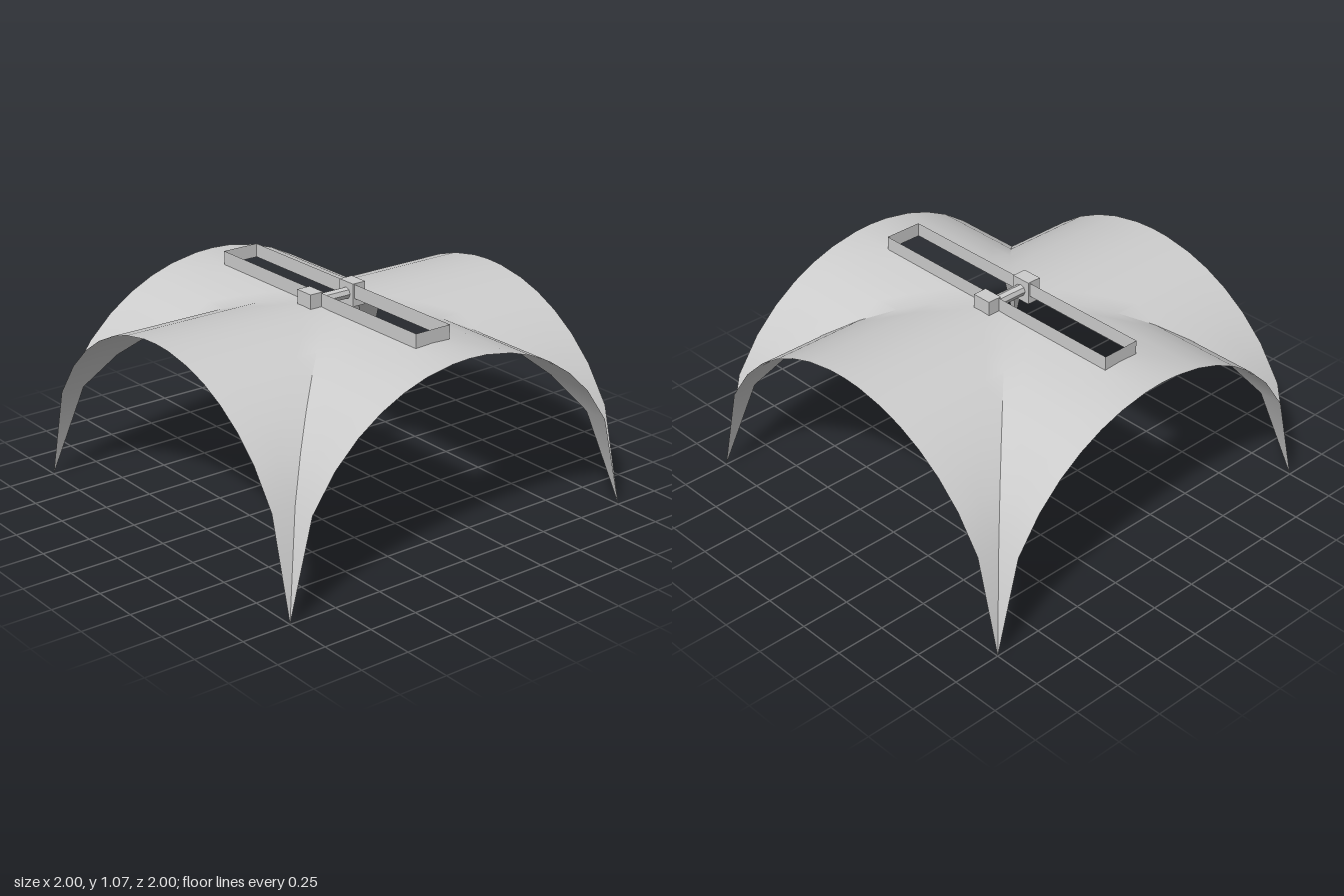
import * as THREE from 'three';
import { toCreasedNormals } from 'three/addons/utils/BufferGeometryUtils.js';

const SLOT_X = 0.1, SLOT_Z = 0.75, RIM_TOP = 1.066;

export function createModel() {
  const group = new THREE.Group();
  group.name = 'groinVault';
  const stone = new THREE.MeshStandardMaterial({ color: 0xcccccc, side: THREE.DoubleSide });
  stone.name = 'paleGrey';

  const add = (name, geometry, x = 0, y = 0, z = 0) => {
    const mesh = new THREE.Mesh(geometry, stone);
    mesh.name = name;
    mesh.position.set(x, y, z);
    group.add(mesh);
    return mesh;
  };

  // Two crossing barrel vaults: the higher of the two semicircles wins
  const arc = (t) => Math.sqrt(Math.max(0, 1 - t * t));
  const point = (x, z) => [x, Math.max(arc(x), arc(z)), z];

  // Even steps, with the innermost lines moved to the slot's sides
  const steps = [];
  for (let i = -8; i <= 8; i++) steps.push(Math.abs(i) === 1 ? i * SLOT_X : i / 8);

  const positions = [];
  for (let i = 0; i < 16; i++) {
    for (let j = 0; j < 16; j++) {
      const x0 = steps[i], x1 = steps[i + 1], z0 = steps[j], z1 = steps[j + 1];
      const mx = (x0 + x1) / 2, mz = (z0 + z1) / 2;
      if (Math.abs(mx) < SLOT_X && Math.abs(mz) < SLOT_Z) continue; // open slot
      const a = point(x0, z0), b = point(x0, z1), c = point(x1, z1), d = point(x1, z0);
      // Split each cell along the line running out to its corner foot
      const corners = mx * mz > 0 ? [a, b, c, a, c, d] : [a, b, d, b, c, d];
      positions.push(...corners.flat());
    }
  }
  const shell = new THREE.BufferGeometry();
  shell.setAttribute('position', new THREE.Float32BufferAttribute(positions, 3));
  add('vaultShell', toCreasedNormals(shell, 0.6));

  // Thin upright rim around the slot
  const base = arc(SLOT_X), rimHeight = RIM_TOP - base, rimY = (RIM_TOP + base) / 2;
  for (const s of [-1, 1]) {
    const side = add('slotSideWall', new THREE.PlaneGeometry(SLOT_Z * 2, rimHeight), s * SLOT_X, rimY, 0);
    side.rotation.y = s * Math.PI / 2;
    const end = add('slotEndWall', new THREE.PlaneGeometry(SLOT_X * 2, rimHeight), 0, rimY, s * SLOT_Z);
    end.rotation.y = s > 0 ? 0 : Math.PI;

    // Bearing block
    add('bearingBlock', new THREE.BoxGeometry(0.075, 0.116, 0.104), s * 0.1275, 1.012, 0);
  }

  // Eight-sided axle across the slot
  const axle = new THREE.CylinderGeometry(0.03, 0.03, 0.2, 8).toNonIndexed();
  axle.rotateZ(Math.PI / 2);
  axle.computeVertexNormals();
  add('axle', axle, 0, 1.012, 0);

  return group;
}
